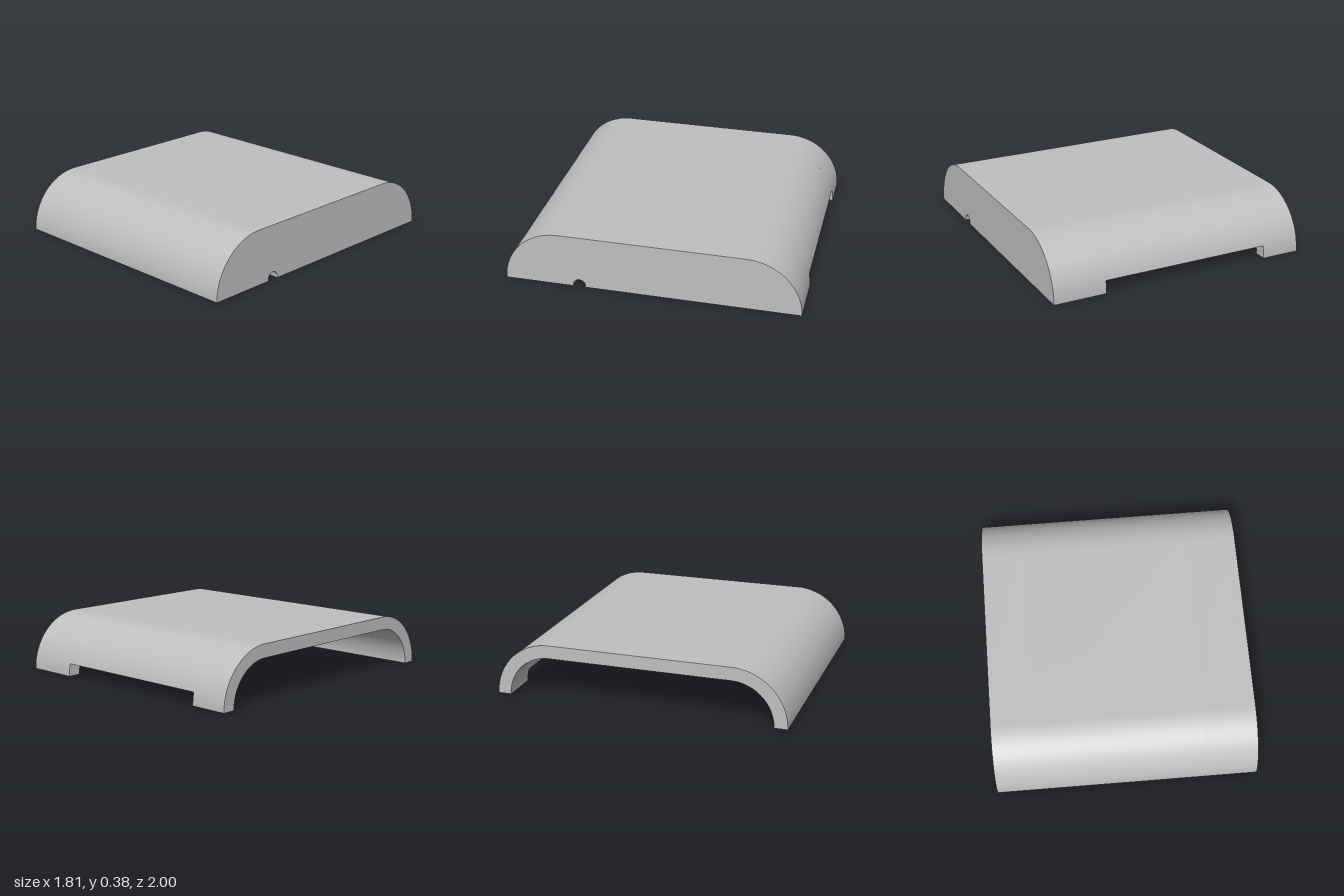
import * as THREE from 'three';
import { toCreasedNormals } from 'three/addons/utils/BufferGeometryUtils.js';

const HALF_WIDTH = 0.905;  // x
const RADIUS = 0.375;      // rounded front and back edges, also the height
const CENTRE = 1 - RADIUS; // distance of the arc centres from the middle
const WALL = 0.09;
const INNER = RADIUS - WALL;

// Extrude a side profile (shape x = -z, shape y = y) from x0 to x1
function extrudeAlongX(shape, x0, x1) {
  const geometry = new THREE.ExtrudeGeometry(shape, {
    depth: x1 - x0, bevelEnabled: false, curveSegments: 32,
  });
  geometry.rotateY(Math.PI / 2);
  geometry.translate(x0, 0, 0);
  return toCreasedNormals(geometry, Math.PI / 6);
}

// Hollow arch whose back foot ends at height backCut
function archProfile(backCut) {
  const outerAngle = Math.asin(backCut / RADIUS);
  const innerAngle = Math.asin(backCut / INNER);
  const s = new THREE.Shape();
  s.moveTo(CENTRE + RADIUS * Math.cos(outerAngle), backCut);
  s.absarc(CENTRE, 0, RADIUS, outerAngle, Math.PI / 2, false);
  s.absarc(-CENTRE, 0, RADIUS, Math.PI / 2, Math.PI, false);
  s.lineTo(-CENTRE - INNER, 0);
  s.absarc(-CENTRE, 0, INNER, Math.PI, Math.PI / 2, true);
  s.absarc(CENTRE, 0, INNER, Math.PI / 2, innerAngle, true);
  s.closePath();
  return s;
}

// Solid end wall with a small round-topped cable slot in its lower edge
function endWallProfile() {
  const slot = -0.49, r = 0.042, rise = 0.011;
  const s = new THREE.Shape();
  s.moveTo(1, 0);
  s.absarc(CENTRE, 0, RADIUS, 0, Math.PI / 2, false);
  s.absarc(-CENTRE, 0, RADIUS, Math.PI / 2, Math.PI, false);
  s.lineTo(slot - r, 0);
  s.lineTo(slot - r, rise);
  s.absarc(slot, rise, r, Math.PI, 0, true);
  s.lineTo(slot + r, 0);
  s.closePath();
  return s;
}

export function createModel() {
  const model = new THREE.Group();
  model.name = 'cover';
  const grey = new THREE.MeshStandardMaterial({ color: 0xbfbfbf });
  grey.name = 'grey plastic';

  const add = (name, shape, x0, x1) => {
    const mesh = new THREE.Mesh(extrudeAlongX(shape, x0, x1), grey);
    mesh.name = name;
    model.add(mesh);
  };

  // Shell: full arch at both ends, back foot cut away between them
  const wallX = HALF_WIDTH - WALL;
  add('openEndShell', archProfile(0), -HALF_WIDTH, -0.64);
  add('notchedShell', archProfile(0.087), -0.64, 0.54);
  add('closedEndShell', archProfile(0), 0.54, wallX);
  add('endWall', endWallProfile(), wallX, HALF_WIDTH);
  return model;
}
